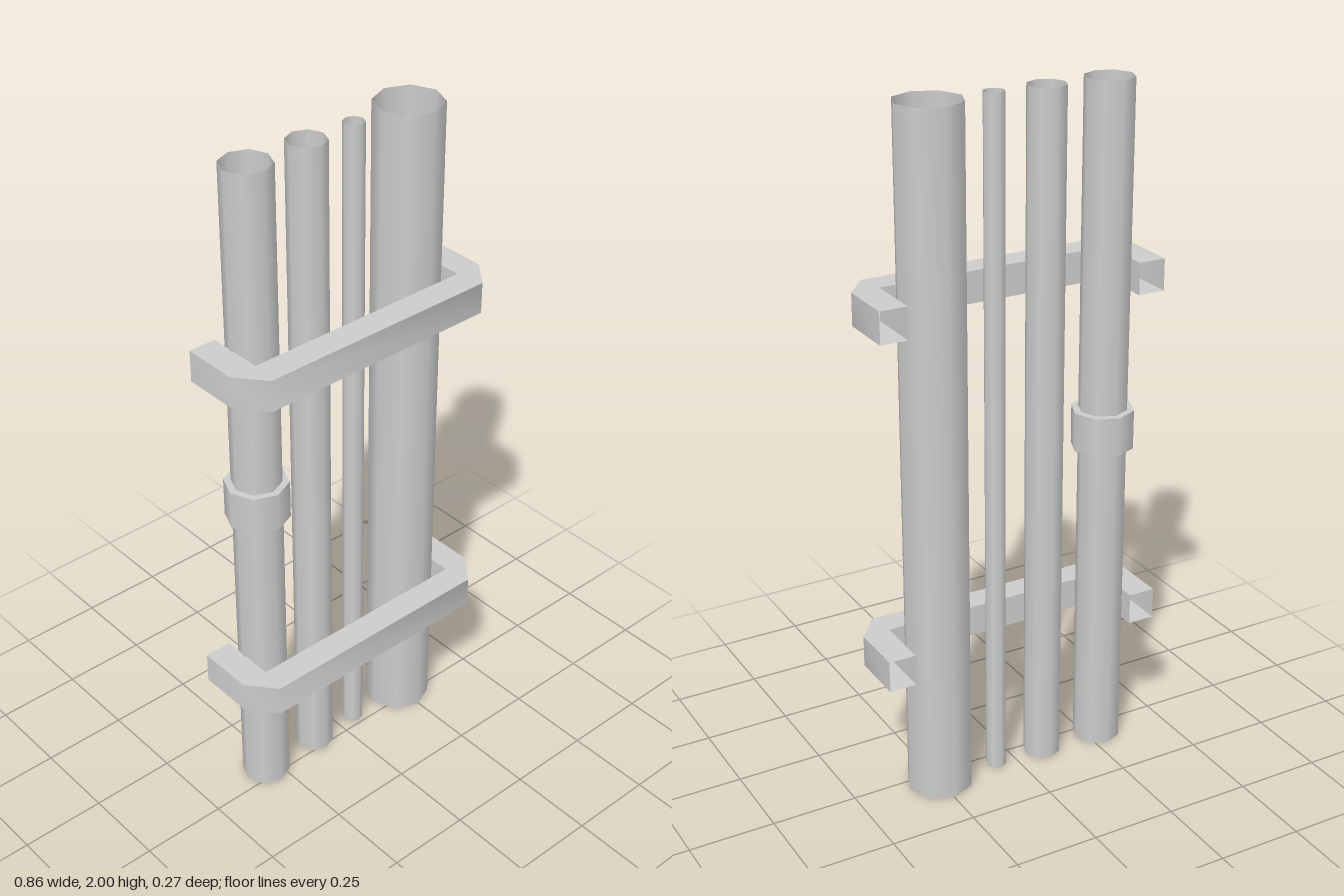
import * as THREE from 'three';
import { toCreasedNormals } from 'three/addons/utils/BufferGeometryUtils.js';

const PIPE_Z = -0.04;
const BACK_Z = -0.11;

// Flat U-shaped clamp with chamfered front corners and open rear ends
function clampGeometry(height) {
  const half = [[0.35, BACK_Z], [0.43, BACK_Z], [0.43, 0.055], [0.365, 0.135]];
  const outline = [
    ...half,
    ...half.slice().reverse().map(([x, z]) => [-x, z]),
    [-0.35, 0.055], [0.35, 0.055],
  ].map(([x, z]) => new THREE.Vector2(x, z));
  const solid = new THREE.ExtrudeGeometry(new THREE.Shape(outline), { depth: height, bevelEnabled: false });
  solid.rotateX(Math.PI / 2).translate(0, height, 0);

  // leave out the faces that lie in the rear plane
  const p = solid.attributes.position;
  const kept = [];
  for (let i = 0; i < p.count; i += 3) {
    const corners = [i, i + 1, i + 2];
    if (corners.every((c) => Math.abs(p.getZ(c) - BACK_Z) < 1e-4)) continue;
    for (const c of corners) kept.push(p.getX(c), p.getY(c), p.getZ(c));
  }
  const open = new THREE.BufferGeometry();
  open.setAttribute('position', new THREE.Float32BufferAttribute(kept, 3));
  return toCreasedNormals(open, Math.PI / 3);
}

export function createModel() {
  const group = new THREE.Group();
  group.name = 'pipeRack';
  const grey = new THREE.MeshStandardMaterial({ color: 0xcccccc, side: THREE.DoubleSide });
  grey.name = 'light grey';

  function add(name, geometry, x, y, z) {
    const mesh = new THREE.Mesh(geometry, grey);
    mesh.name = name;
    mesh.position.set(x, y, z);
    group.add(mesh);
  }

  // Four open vertical pipes: [name, x, radius]
  const pipes = [
    ['collaredPipe', -0.285, 0.07],
    ['mediumPipe', -0.095, 0.055],
    ['thinPipe', 0.06, 0.03],
    ['widePipe', 0.247, 0.096],
  ];
  for (const [name, x, r] of pipes) {
    add(name, new THREE.CylinderGeometry(r, r, 2, 8, 1, true), x, 1, PIPE_Z);
  }

  // Joint collar
  add('collar', new THREE.CylinderGeometry(0.09, 0.09, 0.115, 8), -0.285, 1.007, PIPE_Z);

  // Two wall clamps
  const clamp = clampGeometry(0.092);
  add('lowerClamp', clamp, 0, 0.39, 0);
  add('upperClamp', clamp, 0, 1.406, 0);

  return group;
}
